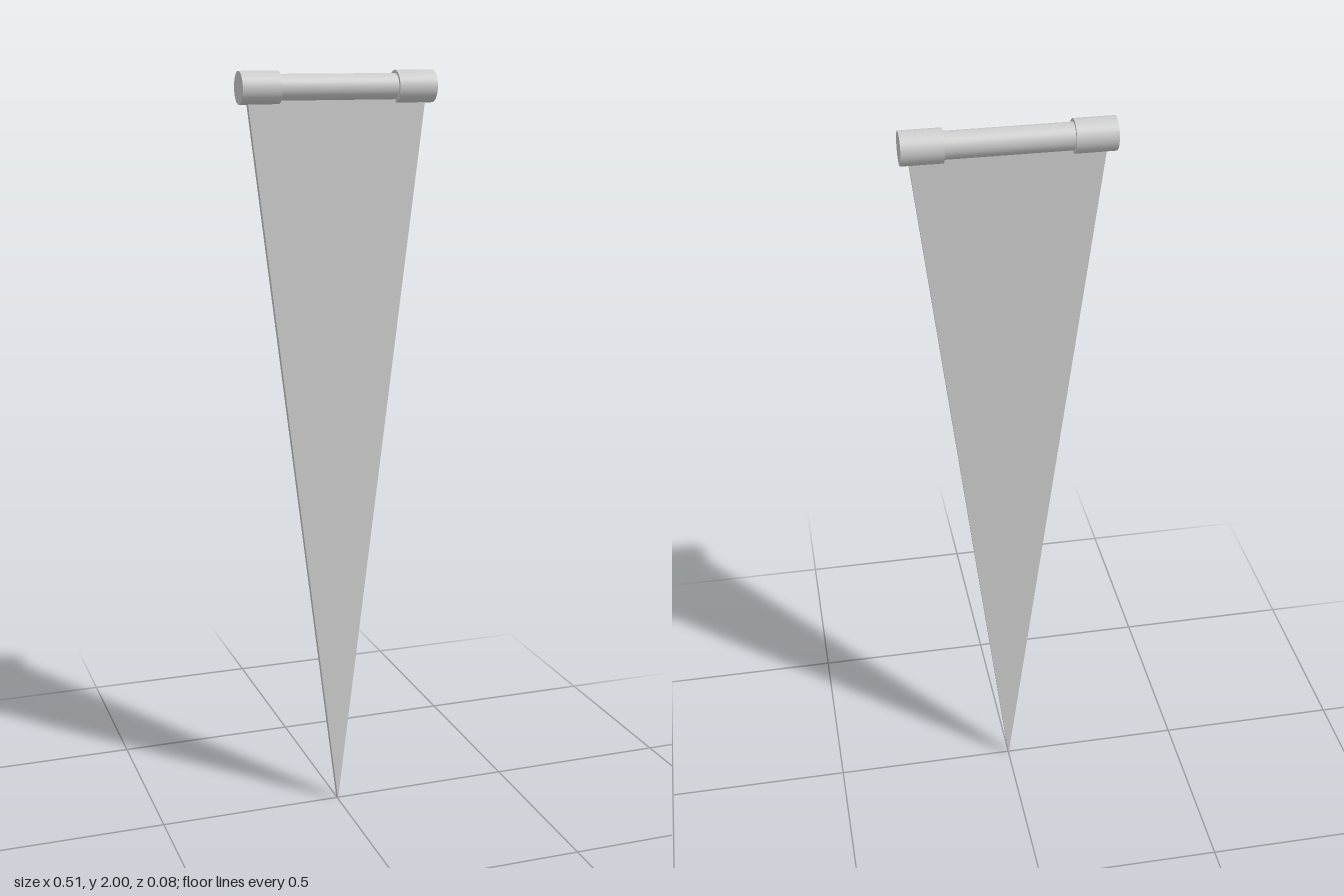
import * as THREE from 'three';

export function createModel() {
  const model = new THREE.Group();
  const material = new THREE.MeshStandardMaterial({ color: 0xcccccc });
  const barY = 1.959;

  const add = (name, geometry, x, y, z) => {
    const mesh = new THREE.Mesh(geometry, material);
    mesh.name = name;
    mesh.position.set(x, y, z);
    model.add(mesh);
  };

  // Cylinder lying along x
  const barGeometry = (radius, length) =>
    new THREE.CylinderGeometry(radius, radius, length, 32).rotateZ(Math.PI / 2);

  // Crossbar with a thicker cap on each end
  add('crossbar', barGeometry(0.033, 0.32), 0, barY, 0);
  for (const [name, side] of [['leftCap', 1], ['rightCap', -1]]) {
    add(name, barGeometry(0.041, 0.102), side * 0.206, barY, 0);
  }

  // Thin triangular pennant hanging from the bar, tapering to a point
  const thickness = 0.016;
  const triangle = new THREE.Shape([
    new THREE.Vector2(0, 0),
    new THREE.Vector2(0.24, barY),
    new THREE.Vector2(-0.24, barY),
  ]);
  const pennant = new THREE.ExtrudeGeometry(triangle, { depth: thickness, bevelEnabled: false });
  add('pennant', pennant, 0, 0, -thickness / 2);

  return model;
}
